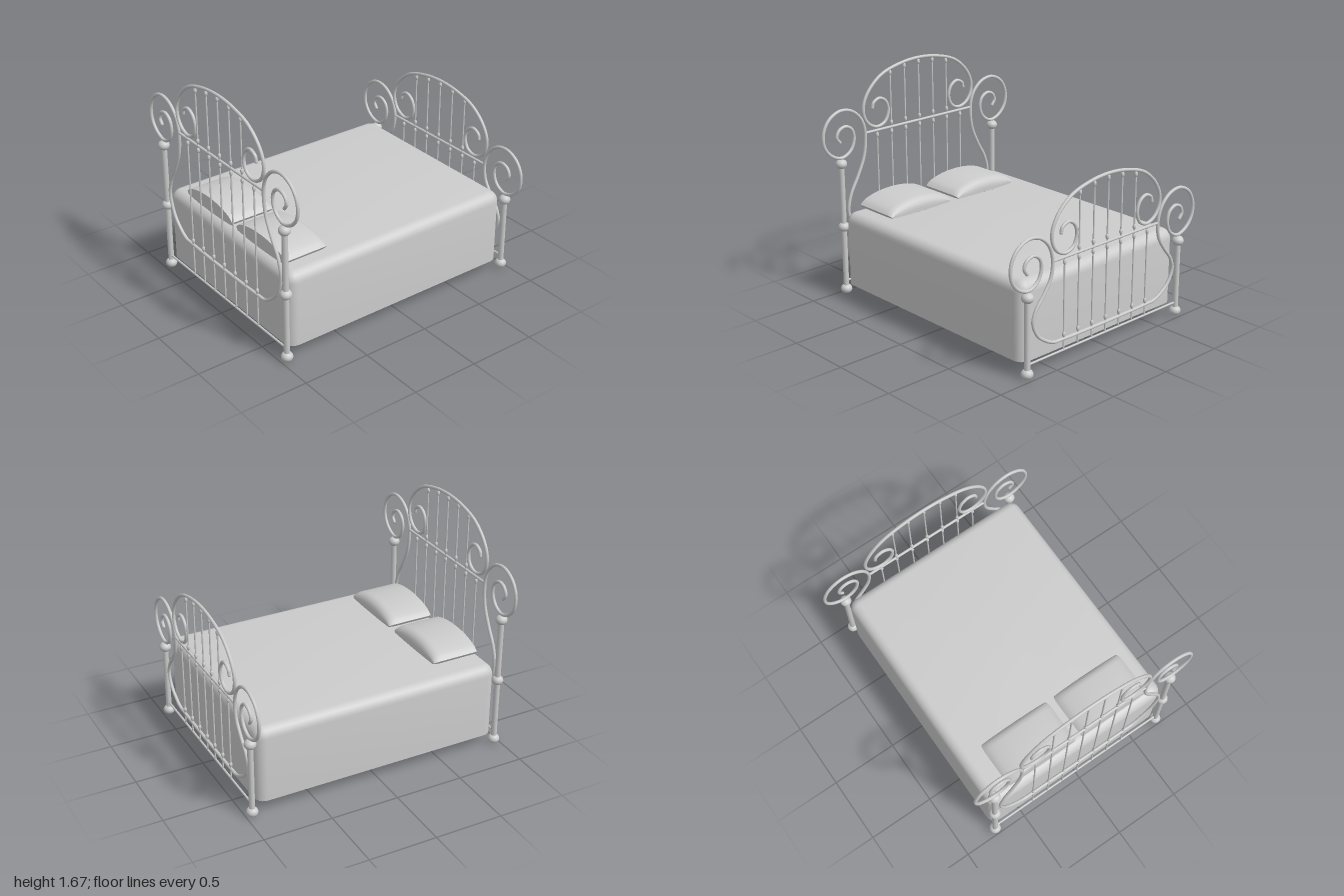
import * as THREE from 'three';
import { toCreasedNormals } from 'three/addons/utils/BufferGeometryUtils.js';

const metal = new THREE.MeshStandardMaterial({ color: 0xcccccc });
const cloth = new THREE.MeshStandardMaterial({ color: 0xcccccc });

function add(parent, name, geometry, material = metal) {
  const mesh = new THREE.Mesh(geometry, material);
  mesh.name = name;
  parent.add(mesh);
  return mesh;
}

const spline = (pts) => new THREE.CatmullRomCurve3(pts.map(([x, y]) => new THREE.Vector3(x, y, 0)));
const mirrored = (pts) => pts.map(([x, y]) => [-x, y]).reverse();

// Tube along a curve with small rounded ends
function rod(parent, name, curve, radius, segments) {
  add(parent, name, new THREE.TubeGeometry(curve, segments, radius, 10));
  for (const t of [0, 1]) {
    add(parent, name + 'End', new THREE.SphereGeometry(radius, 10, 8)).position.copy(curve.getPointAt(t));
  }
}

function bar(parent, name, x0, y0, x1, y1, radius) {
  const length = Math.hypot(x1 - x0, y1 - y0);
  const mesh = add(parent, name, new THREE.CylinderGeometry(radius, radius, length, 10));
  mesh.position.set((x0 + x1) / 2, (y0 + y1) / 2, 0);
  mesh.rotation.z = -Math.atan2(x1 - x0, y1 - y0);
}

function ball(parent, name, x, y, rx, ry) {
  const mesh = add(parent, name, new THREE.SphereGeometry(rx, 16, 12));
  mesh.position.set(x, y, 0);
  mesh.scale.y = ry / rx;
}

// Skin between equal-length closed rings, with both ends capped
function loft(rings, crease) {
  const n = rings[0].length;
  const pos = rings.flat(2);
  const index = [];
  for (let r = 0; r < rings.length - 1; r++) {
    for (let i = 0; i < n; i++) {
      const a = r * n + i, b = r * n + (i + 1) % n;
      index.push(a, b, b + n, a, b + n, a + n);
    }
  }
  [0, rings.length - 1].forEach((r, end) => {
    const centre = pos.length / 3;
    for (let k = 0; k < 3; k++) pos.push(rings[r].reduce((s, p) => s + p[k], 0) / n);
    for (let i = 0; i < n; i++) {
      const a = r * n + i, b = r * n + (i + 1) % n;
      index.push(...(end ? [centre, a, b] : [centre, b, a]));
    }
  });
  const g = new THREE.BufferGeometry();
  g.setAttribute('position', new THREE.Float32BufferAttribute(pos, 3));
  g.setIndex(index);
  return toCreasedNormals(g, crease);
}

// Mattress: rounded plan corners and a rounded top edge
function mattressGeometry(hx, hz, y0, y1, r) {
  const ring = (inset, y) => {
    const pts = [];
    for (let c = 0; c < 4; c++) {
      const sx = c === 0 || c === 3 ? 1 : -1, sz = c < 2 ? -1 : 1;
      for (let k = 0; k <= 6; k++) {
        const a = (c + k / 6) * Math.PI / 2;
        pts.push([sx * (hx - r) + (r - inset) * Math.cos(a), y, sz * (hz - r) - (r - inset) * Math.sin(a)]);
      }
    }
    return pts;
  };
  const rings = [ring(0, y0)];
  for (let k = 0; k <= 6; k++) {
    const a = k / 6 * Math.PI / 2;
    rings.push(ring(0.98 * r * (1 - Math.cos(a)), y1 - r + r * Math.sin(a)));
  }
  return loft(rings, 0.6);
}

// Pillow: domed outline carried along z, rounded off at the far end
function pillowGeometry() {
  const top = new THREE.SplineCurve([[0.285, 0.02], [0.24, 0.055], [0.13, 0.085], [0, 0.095],
    [-0.13, 0.085], [-0.24, 0.055], [-0.285, 0.02]].map((p) => new THREE.Vector2(...p))).getPoints(18);
  const bottom = [[-0.27, -0.003], [-0.14, -0.013], [0, -0.015], [0.14, -0.013], [0.27, -0.003]];
  const outline = [...top.map((p) => [p.x, p.y]), ...bottom];
  const sections = [[0.885, 1, 1], [0.6, 1, 1], [0.575, 0.995, 0.93], [0.555, 0.985, 0.78], [0.542, 0.97, 0.58], [0.537, 0.95, 0.4]];
  return loft(sections.reverse().map(([z, sx, sy]) => outline.map(([x, y]) => [x * sx, 0.665 + y * sy, z])), 0.5);
}

// Bed end: rail = height of the middle rail, sill = height of the lower bend
function bedEnd(name, z, rail, sill, postBalls) {
  const end = new THREE.Group();
  end.name = name;
  end.position.z = z;
  const lift = rail - 1.185;
  const squash = (rail - sill) / (1.185 - 0.345);
  const up = ([x, y]) => [x, y + lift];
  const down = ([x, y]) => [x, rail + (y - 1.185) * squash];

  // Top arch, curling inward into a scroll on both sides
  const curl = [[0.435, 1.36], [0.425, 1.395], [0.37, 1.42], [0.315, 1.39], [0.29, 1.32], [0.32, 1.24],
    [0.39, 1.212], [0.465, 1.24], [0.51, 1.305], [0.515, 1.39], [0.465, 1.49], [0.35, 1.588], [0.18, 1.642]].map(up);
  const arch = spline([...curl, up([0, 1.66]), ...mirrored(curl)]);
  rod(end, 'topArch', arch, 0.012, 260);

  // Outer scrolls joined by the S-shaped sides and the lower bend
  const scroll = [[0.735, 1.16], [0.76, 1.2], [0.737, 1.25], [0.68, 1.268], [0.625, 1.235], [0.608, 1.165],
    [0.64, 1.085], [0.72, 1.043], [0.81, 1.075], [0.868, 1.15], [0.874, 1.25], [0.825, 1.34],
    [0.73, 1.389], [0.63, 1.375], [0.55, 1.31], [0.513, 1.225]].map(up);
  const side = [[0.508, 1.13], [0.527, 1.01], [0.585, 0.88], [0.655, 0.75], [0.68, 0.63],
    [0.64, 0.49], [0.57, 0.405], [0.49, 0.352], [0.42, 0.346], [0.2, 0.34]].map(down);
  const half = [...scroll, ...side];
  rod(end, 'sideScrolls', spline([...half, ...mirrored(half)]), 0.012, 420);

  // Cross rails
  bar(end, 'middleRail', -0.505, rail, 0.505, rail, 0.01);
  bar(end, 'bottomRail', -0.73, 0.1, 0.73, 0.1, 0.008);

  // Spindles with small knots
  const archPoints = arch.getPoints(600).filter((p) => p.y > rail + 0.3);
  for (let i = -3; i <= 3; i++) {
    const x = i * 0.133;
    bar(end, 'lowerSpindle', x, 0.1, x, rail, 0.006);
    const knots = [rail - 0.033, sill + 0.033];
    if (Math.abs(i) < 3) {
      const peak = archPoints.reduce((a, b) => (Math.abs(b.x - x) < Math.abs(a.x - x) ? b : a)).y;
      bar(end, 'upperSpindle', x, rail, x, peak, 0.006);
      knots.push(rail + 0.035, peak - 0.03);
    }
    knots.forEach((y) => ball(end, 'spindleKnot', x, y, 0.012, 0.021));
  }

  // Posts with ball ornaments
  for (const x of [-0.73, 0.73]) {
    bar(end, 'post', x, 0.04, x, postBalls[postBalls.length - 1], 0.021);
    postBalls.forEach((y) => ball(end, 'postBall', x, y, 0.042, 0.036));
  }
  return end;
}

export function createModel() {
  const bed = new THREE.Group();
  bed.name = 'bed';
  bed.add(bedEnd('headboard', 0.957, 1.185, 0.345, [0.037, 0.522, 1.0]));
  bed.add(bedEnd('footboard', -0.957, 0.755, 0.18, [0.037, 0.567]));

  add(bed, 'mattress', mattressGeometry(0.742, 0.926, 0.095, 0.648, 0.075), cloth).position.z = 0.01;

  for (const x of [-0.278, 0.342]) add(bed, 'pillow', pillowGeometry(), cloth).position.x = x;
  return bed;
}
